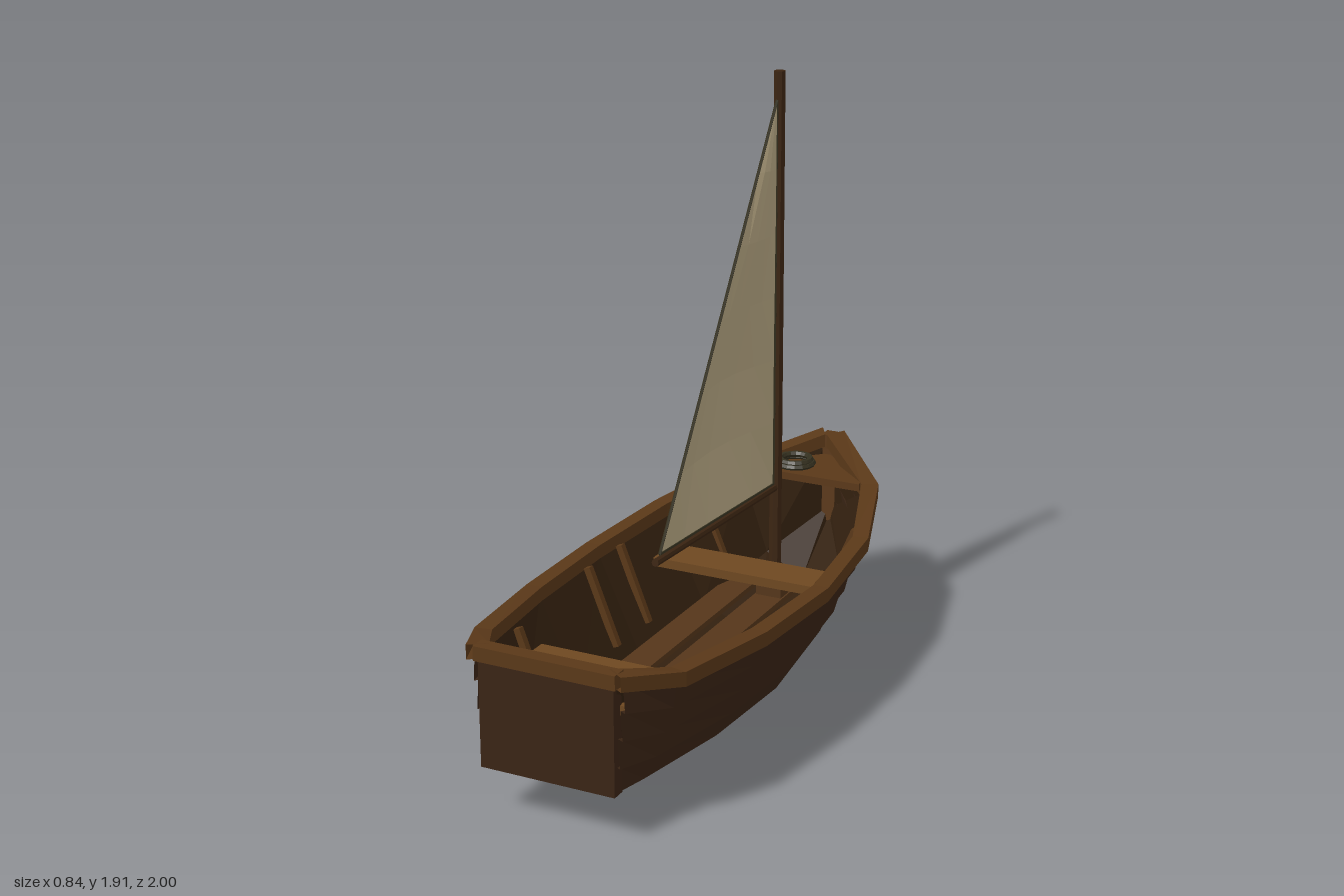
import * as THREE from 'three';

const paint = (color) => new THREE.MeshStandardMaterial({ color, flatShading: true, side: THREE.DoubleSide });
const V = (x, y, z) => new THREE.Vector3(x, y, z);

// Stations from stern to bow: z, top half beam, top y, chine half beam, chine y, keel y
const STATIONS = [
  [0.97, 0.235, 0.50, 0.2, 0.157, 0.15],
  [0.8, 0.315, 0.455, 0.205, 0.13, 0.055],
  [0.4, 0.375, 0.43, 0.235, 0.095, 0.015],
  [0, 0.393, 0.42, 0.245, 0.083, 0.002],
  [-0.4, 0.36, 0.435, 0.218, 0.115, 0.04],
  [-0.75, 0.245, 0.48, 0.15, 0.19, 0.112],
  [-0.975, 0.022, 0.55, 0.015, 0.3, 0.27],
];
// Rail: z, outer x, top y, inner x, inner z
const RAIL = [
  [1.0, 0.245, 0.53, 0.19, 0.965],
  [0.8, 0.342, 0.485, 0.288, 0.79],
  [0.4, 0.402, 0.46, 0.35, 0.4],
  [0, 0.42, 0.45, 0.37, 0],
  [-0.4, 0.383, 0.465, 0.333, -0.39],
  [-0.76, 0.268, 0.51, 0.217, -0.735],
  [-1.0, 0.04, 0.59, 0.003, -0.935],
];

// Surface through rows of points
function loft(rows) {
  const n = rows[0].length, index = [];
  for (let r = 0; r < rows.length - 1; r++)
    for (let c = 0; c < n - 1; c++) {
      const a = r * n + c, b = a + n;
      index.push(a, b, a + 1, a + 1, b, b + 1);
    }
  const g = new THREE.BufferGeometry().setFromPoints(rows.flat());
  g.setIndex(index);
  g.computeVertexNormals();
  return g;
}

const mirrored = (half) => [...half.slice(1).reverse().map((p) => V(-p.x, p.y, p.z)), ...half];

// Clinker section: the lower edge of each plank laps over the one below
function outerSection([z, bx, by, cx, cy, ky]) {
  const lap = z < -0.9 ? 0.006 : 0.015, half = [V(0, ky, z), V(cx, cy, z)];
  const at = (t, out) => V(cx + (bx - cx) * t + out, cy + (by - cy) * t - out * 0.4, z);
  for (let i = 0; i < 4; i++) half.push(at(i / 4, i ? lap : 0.004), at((i + 1) / 4, 0));
  return mirrored(half);
}

function innerSection([z, bx, by, cx, cy, ky]) {
  const w = Math.min(0.016, cx * 0.6);
  return mirrored([V(0, ky + 0.015, z), V(cx - w, cy + 0.012, z), V(bx - w, by, z)]);
}

export function createModel() {
  const boat = new THREE.Group();
  const hullMat = paint(0x3a2415), innerMat = paint(0x33200f), railMat = paint(0x5a3818);
  const seatMat = paint(0x6e4820), floorMat = paint(0x55361a), mastMat = paint(0x3c2512);
  const ropeMat = paint(0x34301f), sailMat = paint(0xb8a884);

  const add = (name, geo, mat) => {
    const m = new THREE.Mesh(geo, mat);
    m.name = name;
    boat.add(m);
    return m;
  };
  const box = (name, mat, w, h, d, x, y, z) => {
    const m = add(name, new THREE.BoxGeometry(w, h, d), mat);
    m.position.set(x, y, z);
    return m;
  };
  const spar = (name, mat, a, b, r0, r1, sides) => {
    const m = add(name, new THREE.CylinderGeometry(r1, r0, a.distanceTo(b), sides), mat);
    m.position.copy(a).lerp(b, 0.5);
    m.quaternion.setFromUnitVectors(V(0, 1, 0), b.clone().sub(a).normalize());
    return m;
  };

  // Hull shell
  add('hullPlanks', loft(STATIONS.map(outerSection)), hullMat);
  add('hullLining', loft(STATIONS.map(innerSection)), innerMat);
  box('transom', hullMat, 0.43, 0.335, 0.045, 0, 0.322, 0.965);
  const stem = box('stemPost', railMat, 0.055, 0.3, 0.04, 0, 0.415, -0.975);
  stem.rotation.x = -0.03;

  // Gunwale rails
  for (const s of [1, -1]) {
    const rows = RAIL.map(([z, x, y, ix, iz]) => [
      V(s * x, y, z), V(s * ix, y, iz), V(s * ix, y - 0.045, iz), V(s * x, y - 0.045, z), V(s * x, y, z),
    ]);
    add(s > 0 ? 'leftRail' : 'rightRail', loft(rows), railMat);
  }
  box('sternRail', railMat, 0.45, 0.045, 0.05, 0, 0.506, 0.972);
  box('bowCap', railMat, 0.04, 0.05, 0.05, 0, 0.56, -0.968);

  // Triangular foredeck
  const deck = new THREE.Shape([[-0.215, 0.72], [0.215, 0.72], [0.205, 0.76], [0.012, 0.95], [-0.012, 0.95], [-0.205, 0.76]]
    .map(([x, y]) => new THREE.Vector2(x, y)));
  const deckMesh = add('foredeck', new THREE.ExtrudeGeometry(deck, { depth: 0.025, bevelEnabled: false }), railMat);
  deckMesh.rotation.x = -Math.PI / 2;
  deckMesh.position.y = 0.488;

  // Coiled rope on the foredeck
  [[0.06, 0.52], [0.052, 0.532]].forEach(([r, y]) => {
    const coil = add('ropeCoil', new THREE.TorusGeometry(r, 0.011, 6, 16), ropeMat);
    coil.rotation.x = Math.PI / 2;
    coil.position.set(-0.058, y, -0.81);
  });

  // Seats
  box('frontSeat', seatMat, 0.61, 0.03, 0.14, 0, 0.318, -0.31);
  box('middleSeat', seatMat, 0.57, 0.03, 0.14, 0, 0.318, 0.59);
  box('sternSeat', seatMat, 0.46, 0.03, 0.2, 0, 0.405, 0.85);

  // Floor boards and mast step
  for (const x of [-0.142, 0, 0.142]) box('floorBoard', floorMat, 0.1, 0.018, 1.25, x, 0.155, 0.025);
  box('mastStep', floorMat, 0.09, 0.04, 0.11, 0, 0.18, -0.53);

  // Ribs on the inside of the hull
  for (const [z, x0, x1] of [[-0.55, 0.17, 0.275], [-0.095, 0.25, 0.35], [0.115, 0.25, 0.35], [0.62, 0.21, 0.305]])
    for (const s of [1, -1]) {
      const a = V(s * x0, 0.17, z), b = V(s * x1, 0.42, z);
      const rib = box('rib', railMat, 0.022, a.distanceTo(b), 0.022, 0, 0, 0);
      rib.position.copy(a).lerp(b, 0.5);
      rib.rotation.z = -s * Math.atan2(x1 - x0, 0.25);
    }

  // Mast and boom
  spar('mast', mastMat, V(0, 0.16, -0.525), V(0, 1.91, -0.525), 0.022, 0.019, 8);
  spar('boom', mastMat, V(0, 0.537, -0.51), V(0, 0.575, 0.33), 0.014, 0.012, 8);

  // Sail with a shallow belly
  const head = V(0, 1.82, -0.507), tack = V(0, 0.55, -0.507), clew = V(0, 0.592, 0.3), rows = [];
  for (let i = 0; i <= 6; i++) {
    const t = i / 6, row = [];
    for (let j = 0; j <= 5; j++) {
      const s = j / 5;
      const p = head.clone().lerp(tack.clone().lerp(clew, s), t);
      p.x = Math.sin(Math.PI * s) * (0.022 * Math.sin(2 * Math.PI * t) - 0.02 * Math.sin(Math.PI * t * t));
      row.push(p);
    }
    rows.push(row);
  }
  add('sail', loft(rows), sailMat);
  spar('leechRope', ropeMat, clew, head, 0.005, 0.005, 5);
  spar('footRope', ropeMat, tack, clew, 0.005, 0.005, 5);
  spar('luffRope', ropeMat, tack, head, 0.005, 0.005, 5);

  return boat;
}
